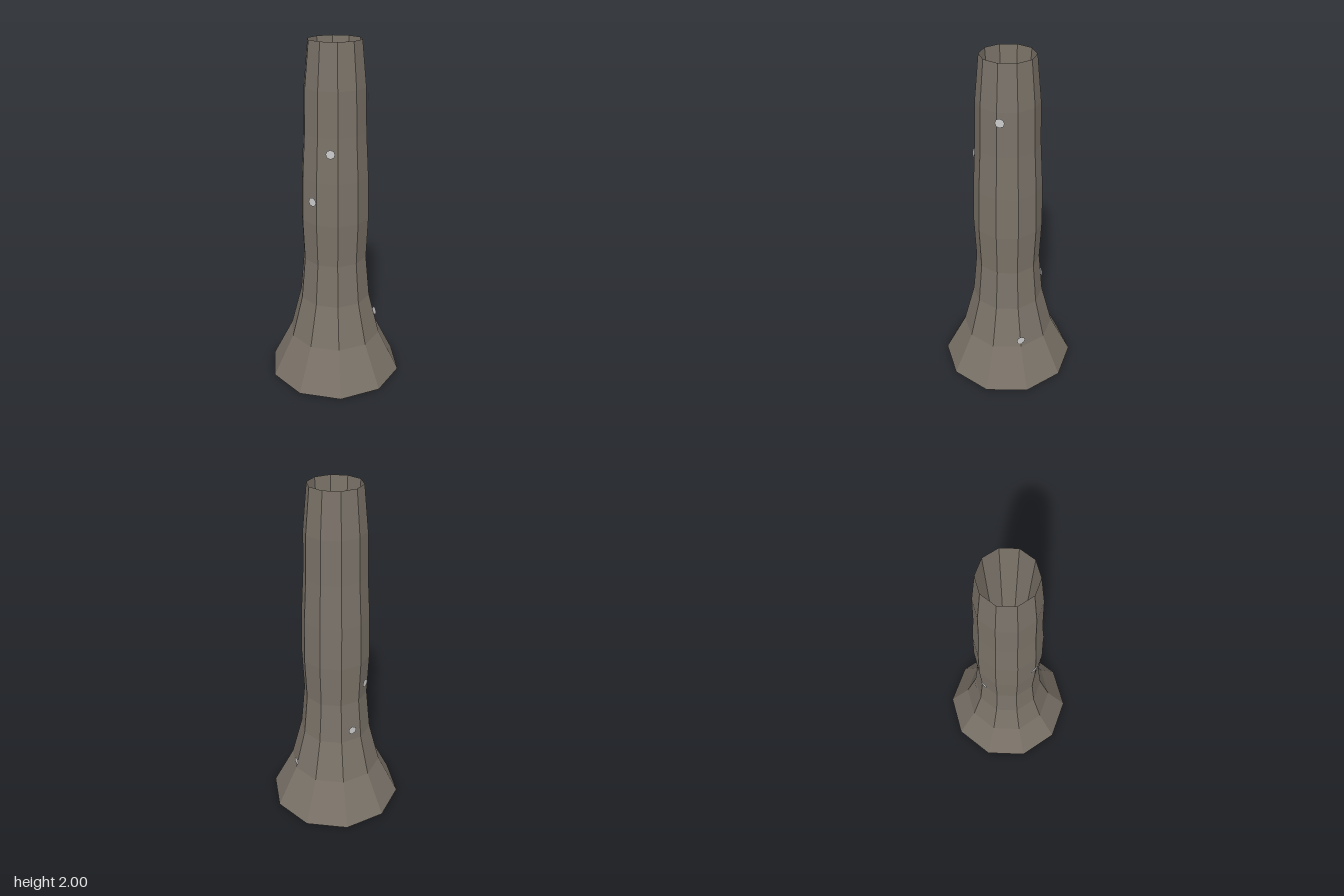
import * as THREE from 'three';

const SIDES = 10;
// Outer radius at every quarter unit of height, from the flared foot to the rim
const RADII = [0.4, 0.275, 0.211, 0.188, 0.199, 0.194, 0.18, 0.174, 0.15];
const STEP = 0.25;

function radiusAt(y) {
  const i = Math.min(Math.floor(y / STEP), RADII.length - 2);
  return THREE.MathUtils.lerp(RADII[i], RADII[i + 1], y / STEP - i);
}

export function createModel() {
  const group = new THREE.Group();
  group.name = 'flaredColumn';

  const stone = new THREE.MeshStandardMaterial({
    color: 0x7a7268, flatShading: true, side: THREE.DoubleSide,
  });
  const pale = new THREE.MeshStandardMaterial({ color: 0xcccccc, side: THREE.DoubleSide });

  // Faceted shell, open at the foot, one facet edge on the x axis
  const profile = RADII.map((r, i) => new THREE.Vector2(r, i * STEP));
  const shell = new THREE.Mesh(new THREE.LatheGeometry(profile, SIDES, Math.PI / 2), stone);
  shell.name = 'shell';
  group.add(shell);

  // Deep funnel running from the rim down to a point at the foot
  const funnelProfile = [new THREE.Vector2(RADII.at(-1), 2), new THREE.Vector2(0, 0)];
  const funnel = new THREE.Mesh(new THREE.LatheGeometry(funnelProfile, SIDES, Math.PI / 2), stone);
  funnel.name = 'innerFunnel';
  group.add(funnel);

  // Small flat discs winding up the shell, each facing outwards
  const discGeometry = new THREE.CircleGeometry(0.026, 8);
  [0, 270, 240, 150, 120, 30].forEach((degrees, i) => {
    const angle = THREE.MathUtils.degToRad(degrees);
    const y = 0.3 + i * 0.28;
    const r = radiusAt(y) + 0.01;
    const disc = new THREE.Mesh(discGeometry, pale);
    disc.name = `disc${i + 1}`;
    disc.position.set(r * Math.cos(angle), y, r * Math.sin(angle));
    disc.rotation.y = Math.PI / 2 - angle;
    group.add(disc);
  });

  return group;
}
